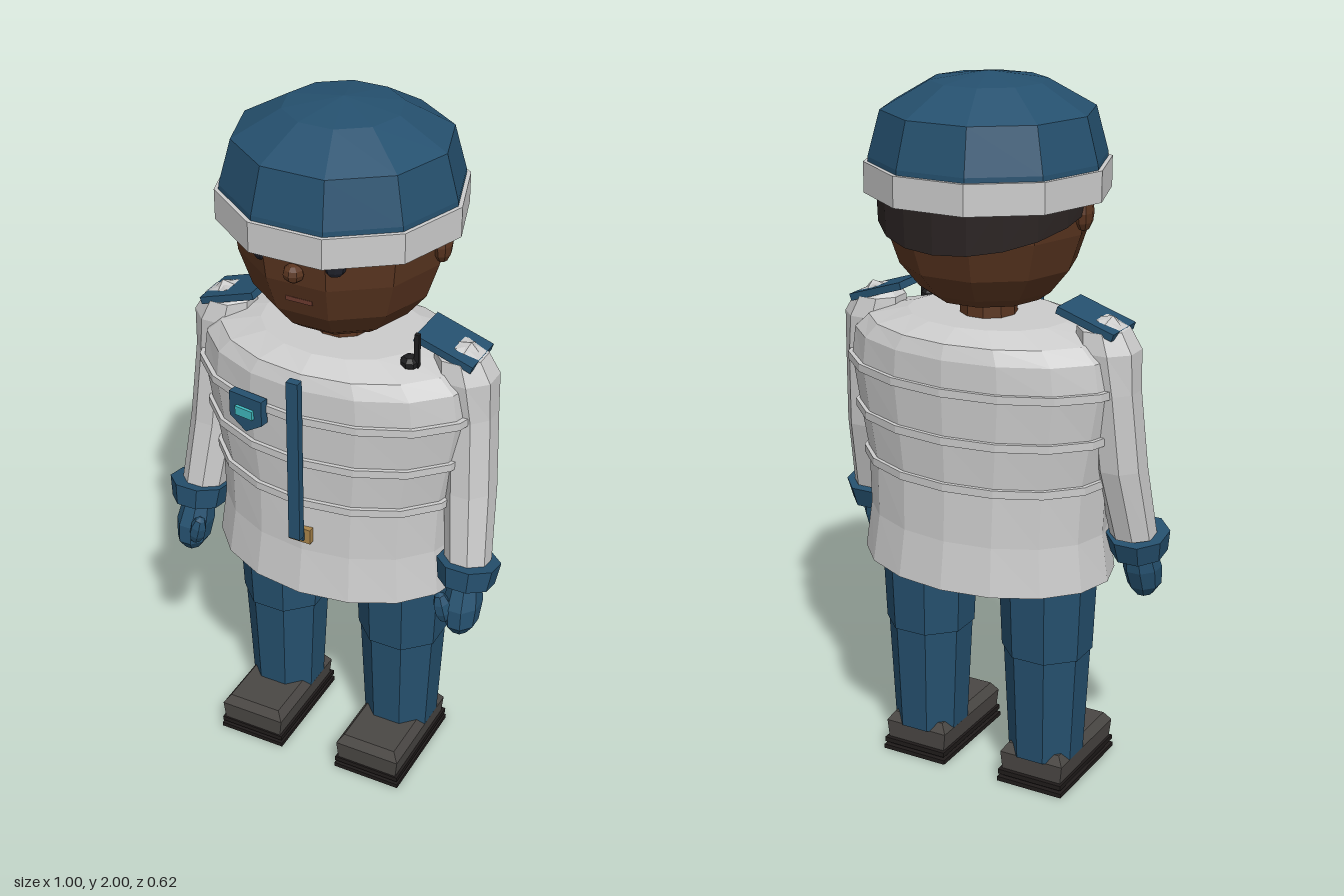
import * as THREE from 'three';

const COLORS = {
  blue: 0x25506e, white: 0xeeeeee, trim: 0xcccccc, skin: 0x5a3520, hair: 0x2b2423, black: 0x1d1d1f,
  sole: 0x1f1b1a, shoe: 0x4a4744, eye: 0x20222c, lip: 0x6b3a2e, teal: 0x3fb8bd, brass: 0xa8834a,
};
const materials = {};
for (const key in COLORS) {
  materials[key] = new THREE.MeshStandardMaterial({ color: COLORS[key], flatShading: true });
}
materials.hair.side = THREE.DoubleSide;

// Closed faceted body through rings listed bottom to top: [y, rx, rz, cx, cz]
function loft(rings, sides, phase = 0) {
  const pos = [];
  const point = ([y, rx, rz, cx = 0, cz = 0], j) => {
    const a = phase + (j % sides) / sides * Math.PI * 2;
    return [cx + rx * Math.cos(a), y, cz + rz * Math.sin(a)];
  };
  const centre = ([y, , , cx = 0, cz = 0]) => [cx, y, cz];
  const low = rings[0], high = rings[rings.length - 1];
  for (let j = 0; j < sides; j++) {
    for (let i = 0; i < rings.length - 1; i++) {
      const a = point(rings[i], j), b = point(rings[i + 1], j);
      const c = point(rings[i + 1], j + 1), d = point(rings[i], j + 1);
      pos.push(...a, ...b, ...c, ...a, ...c, ...d);
    }
    pos.push(...centre(low), ...point(low, j), ...point(low, j + 1));
    pos.push(...centre(high), ...point(high, j + 1), ...point(high, j));
  }
  const geo = new THREE.BufferGeometry();
  geo.setAttribute('position', new THREE.Float32BufferAttribute(pos, 3));
  geo.computeVertexNormals();
  return geo;
}

export function createModel() {
  const model = new THREE.Group();
  model.name = 'officer';

  const add = (name, geo, color, x = 0, y = 0, z = 0, parent = model) => {
    const mesh = new THREE.Mesh(geo, materials[color]);
    mesh.name = name;
    mesh.position.set(x, y, z);
    parent.add(mesh);
    return mesh;
  };
  const box = (w, h, d) => new THREE.BoxGeometry(w, h, d);
  const ball = (rx, ry, rz, w = 8, h = 6) => new THREE.SphereGeometry(1, w, h).scale(rx, ry, rz);

  // Jacket with three raised bands
  add('jacket', loft([
    [0.645, 0.37, 0.27], [0.78, 0.352, 0.25], [0.937, 0.358, 0.243], [1.07, 0.384, 0.25],
    [1.205, 0.408, 0.256], [1.29, 0.395, 0.255], [1.33, 0.35, 0.24], [1.36, 0.23, 0.18],
  ], 16), 'white');
  for (const [y, rx, rz] of [[0.937, 0.372, 0.255], [1.07, 0.397, 0.262], [1.205, 0.42, 0.267]]) {
    add('jacketBand', loft([[y - 0.011, rx, rz], [y + 0.011, rx, rz]], 16), 'trim');
  }

  // Zip, pull and badge
  add('zip', box(0.034, 0.49, 0.024), 'blue', 0, 1.085, 0.278);
  add('zipPull', box(0.064, 0.045, 0.03), 'brass', 0, 0.835, 0.245);
  add('zipPullCentre', box(0.03, 0.024, 0.01), 'blue', 0, 0.835, 0.262);
  const shield = new THREE.Shape([[-0.053, 0.053], [-0.053, -0.02], [0, -0.055], [0.053, -0.02], [0.053, 0.053]]
    .map(([x, y]) => new THREE.Vector2(x, y)));
  const badge = new THREE.Group();
  badge.name = 'badge';
  badge.position.set(-0.148, 1.182, 0.243);
  badge.rotation.y = -0.15;
  model.add(badge);
  add('badgeShield', new THREE.ExtrudeGeometry(shield, { depth: 0.025, bevelEnabled: false }), 'blue', 0, 0, 0, badge);
  add('badgePlate', box(0.056, 0.026, 0.012), 'teal', 0, 0.006, 0.028, badge);

  // Shoulder radio
  add('radio', ball(0.027, 0.022, 0.027, 8, 5), 'black', 0.237, 1.352, 0.09);
  add('radioAntenna', box(0.013, 0.1, 0.013), 'black', 0.257, 1.39, 0.09);

  // Neck and head
  add('neck', loft([[1.33, 0.08, 0.08], [1.43, 0.075, 0.075]], 10), 'skin');
  add('head', loft([
    [1.41, 0.15, 0.15], [1.435, 0.185, 0.185], [1.5, 0.238, 0.238],
    [1.6, 0.272, 0.272], [1.68, 0.282, 0.282], [1.78, 0.27, 0.27],
  ], 10), 'skin');
  add('nose', ball(0.028, 0.025, 0.028, 8, 6), 'skin', 0, 1.637, 0.268);
  add('mouth', box(0.075, 0.012, 0.014), 'lip', 0, 1.548, 0.238);
  for (const s of [-1, 1]) {
    add('eye', ball(0.029, 0.03, 0.017), 'eye', s * 0.105, 1.672, 0.25).rotation.y = s * 0.5;
    add('ear', ball(0.024, 0.05, 0.035), 'skin', s * 0.28, 1.66, 0);
  }

  // Hair shell round the back, lower edge dropping toward the nape
  const hair = new THREE.CylinderGeometry(0.296, 0.292, 0.16, 10, 1, true, Math.PI / 2, Math.PI);
  const hp = hair.attributes.position;
  for (let i = 0; i < hp.count; i++) {
    const z = hp.getZ(i);
    hp.setY(i, hp.getY(i) > 0 ? 1.72 : 1.665 + z * 0.3);
  }
  add('hair', hair, 'hair');

  // Cap with pale brim band
  add('capBand', loft([[1.69, 0.328, 0.328], [1.772, 0.328, 0.328]], 10), 'trim').material = materials.white;
  add('capDome', loft([[1.75, 0.318, 0.318], [1.785, 0.316, 0.316], [1.905, 0.283, 0.283],
    [1.978, 0.155, 0.155], [2, 0.004, 0.004]], 10), 'blue');

  for (const s of [-1, 1]) {
    // Arm with gloved hand
    const arm = new THREE.Group();
    arm.name = s > 0 ? 'leftArm' : 'rightArm';
    model.add(arm);
    const cx = (rings) => rings.map(([y, rx, rz, x, z]) => [y, rx, rz, s * x, z]);
    add('sleeve', loft(cx([
      [0.77, 0.064, 0.067, 0.413, 0.068], [0.98, 0.07, 0.078, 0.392, 0.022], [1.2, 0.07, 0.078, 0.377, 0],
      [1.31, 0.088, 0.088, 0.357, 0], [1.365, 0.07, 0.074, 0.342, 0], [1.39, 0.03, 0.035, 0.33, 0],
    ]), 8, Math.PI / 8), 'white', 0, 0, 0, arm);
    const cuff = add('cuff', loft([[-0.032, 0.078, 0.08], [0.03, 0.088, 0.088]], 8, Math.PI / 8),
      'blue', s * 0.421, 0.745, 0.085, arm);
    cuff.rotation.x = -0.2;
    add('glove', loft(cx([
      [0.575, 0.024, 0.03, 0.425, 0.128], [0.605, 0.046, 0.055, 0.425, 0.125],
      [0.66, 0.052, 0.065, 0.423, 0.112], [0.73, 0.042, 0.05, 0.42, 0.09],
    ]), 8, Math.PI / 8), 'blue', 0, 0, 0, arm);
    const thumb = add('thumb', ball(0.025, 0.048, 0.026, 6, 5), 'blue', s * 0.385, 0.66, 0.165, arm);
    thumb.rotation.z = s * 0.25;

    // Shoulder board with pale stud
    const board = new THREE.Group();
    board.name = 'shoulderBoard';
    board.position.set(s * 0.318, 1.385, 0);
    board.rotation.z = -s * 0.32;
    model.add(board);
    add('boardPlate', box(0.17, 0.02, 0.136), 'blue', 0, 0, 0, board);
    add('boardStud', new THREE.OctahedronGeometry(1).scale(0.04, 0.022, 0.045), 'white', s * 0.043, 0.006, 0, board);

    // Trouser leg
    const leg = new THREE.Group();
    leg.name = s > 0 ? 'leftLeg' : 'rightLeg';
    leg.position.x = s * 0.19;
    model.add(leg);
    add('thigh', loft([[0.41, 0.128, 0.126, 0, -0.005], [0.67, 0.139, 0.136, 0, -0.005]], 8, Math.PI / 8),
      'blue', 0, 0, 0, leg);
    add('shin', loft([[0.09, 0.106, 0.108, 0, -0.005], [0.42, 0.123, 0.121, 0, -0.005]], 8, Math.PI / 8),
      'blue', 0, 0, 0, leg);

    // Shoe: two sole plates and a chamfered upper
    add('sole', box(0.204, 0.013, 0.34), 'sole', 0, 0.0065, 0.06, leg);
    add('soleCore', box(0.18, 0.02, 0.31), 'sole', 0, 0.015, 0.06, leg);
    add('welt', box(0.2, 0.014, 0.338), 'sole', 0, 0.03, 0.06, leg);
    const q = Math.SQRT2;
    add('shoeUpper', loft([
      [0.035, 0.092 * q, 0.16 * q, 0, 0.064], [0.09, 0.098 * q, 0.162 * q, 0, 0.064],
      [0.116, 0.08 * q, 0.145 * q, 0, 0.064],
    ], 4, Math.PI / 4), 'shoe', 0, 0, 0, leg);
  }
  return model;
}
